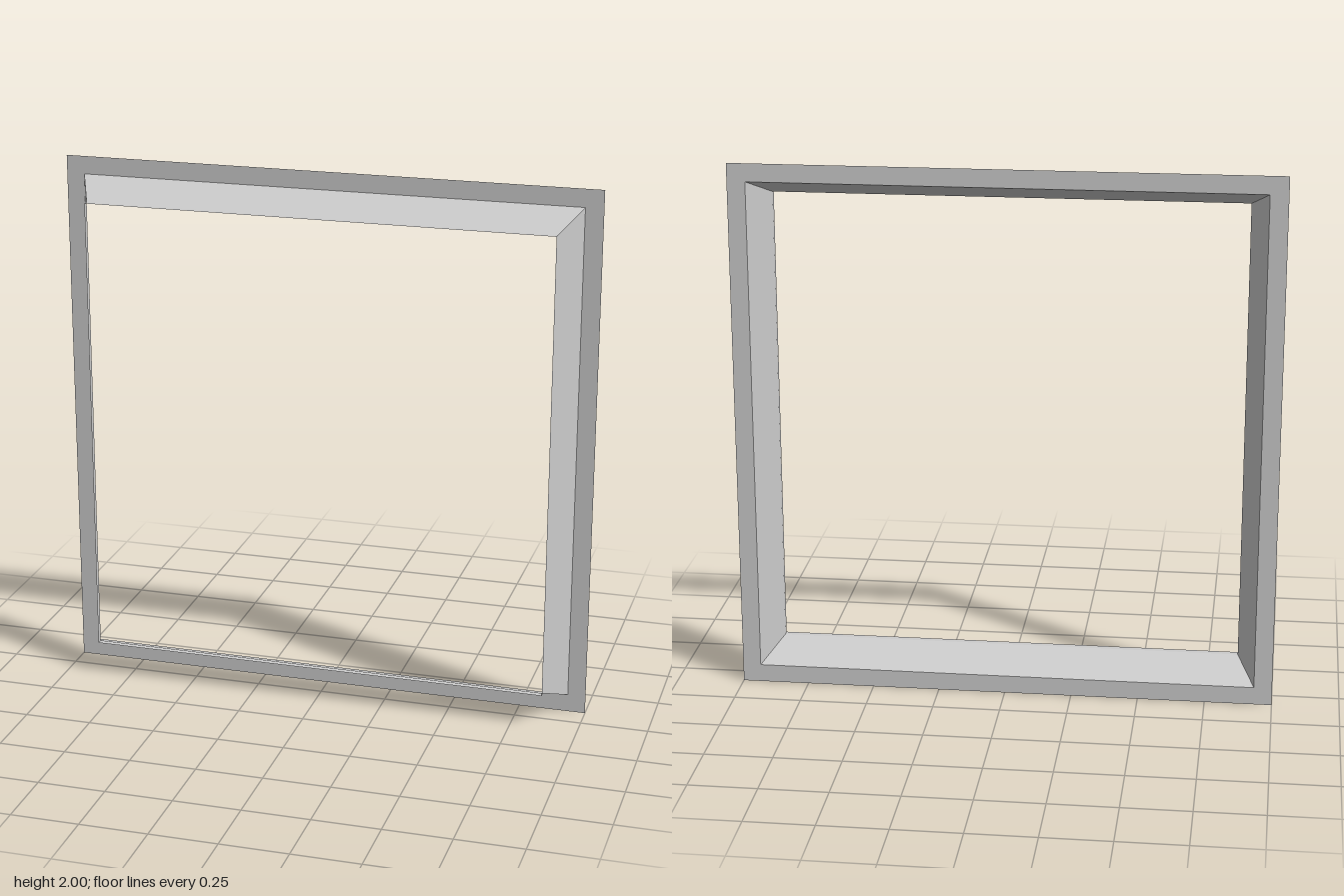
import * as THREE from 'three';

const material = new THREE.MeshStandardMaterial({
  color: 0xcccccc, flatShading: true, side: THREE.DoubleSide,
});

// Square mitred ring: sweeps a profile of [half width, z] points round the z axis.
function squareRing(name, profile) {
  const points = profile.map(([half, z]) => new THREE.Vector2(half * Math.SQRT2, z));
  const geometry = new THREE.LatheGeometry(points, 4, Math.PI / 4)
    .rotateX(Math.PI / 2)
    .toNonIndexed();
  geometry.computeVertexNormals();
  const mesh = new THREE.Mesh(geometry, material);
  mesh.name = name;
  mesh.position.y = 1;
  return mesh;
}

export function createModel() {
  const group = new THREE.Group();
  group.name = 'squareFrame';

  const back = -0.088, bend = 0.065, front = 0.088;
  const outer = 1, inner = 0.933, opening = 0.867;

  group.add(
    // flat border at the back
    squareRing('flange', [[outer, back], [inner, back]]),
    // sloping walls narrowing towards the front
    squareRing('taperedWalls', [[inner, back], [opening, bend]]),
    // short straight rim round the opening
    squareRing('frontLip', [[opening, bend], [opening, front]]),
  );
  return group;
}
